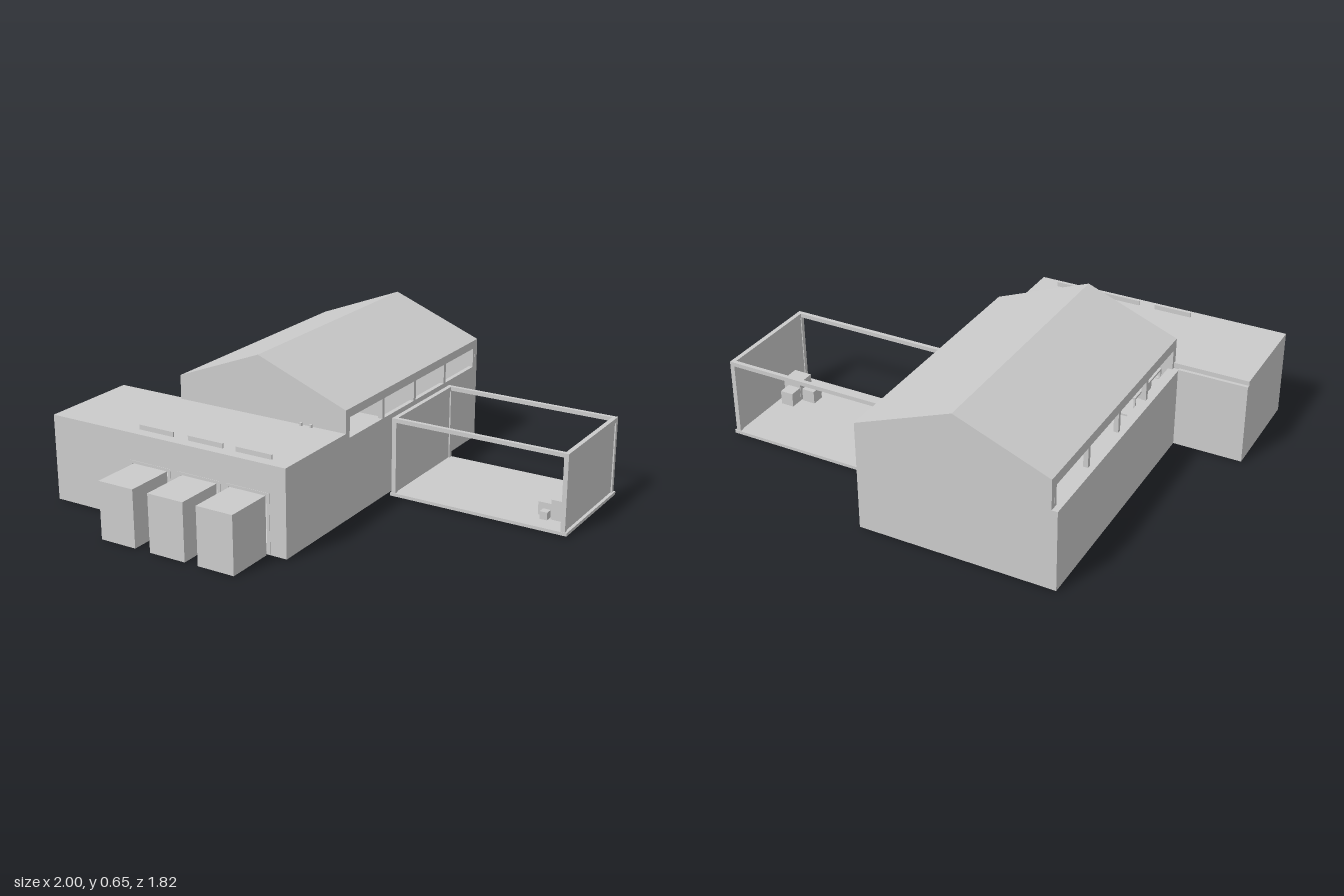
import * as THREE from 'three';

const grey = new THREE.MeshStandardMaterial({ color: 0xcccccc, flatShading: true });

// Box given by its extents on each axis
function block(parent, name, x0, x1, y0, y1, z0, z1) {
  const mesh = new THREE.Mesh(new THREE.BoxGeometry(x1 - x0, y1 - y0, z1 - z0), grey);
  mesh.position.set((x0 + x1) / 2, (y0 + y1) / 2, (z0 + z1) / 2);
  mesh.name = name;
  parent.add(mesh);
  return mesh;
}

// Flat outline extruded along z
function prism(parent, name, points, z0, z1, holes = []) {
  const shape = new THREE.Shape(points.map(([x, y]) => new THREE.Vector2(x, y)));
  for (const [x0, x1, y0, y1] of holes) {
    shape.holes.push(new THREE.Path([[x0, y0], [x0, y1], [x1, y1], [x1, y0]].map(([x, y]) => new THREE.Vector2(x, y))));
  }
  const mesh = new THREE.Mesh(new THREE.ExtrudeGeometry(shape, { depth: z1 - z0, bevelEnabled: false }), grey);
  mesh.position.z = z0;
  mesh.name = name;
  parent.add(mesh);
}

function group(parent, name) {
  const g = new THREE.Group();
  g.name = name;
  parent.add(g);
  return g;
}

const docks = [-0.497, -0.253, -0.02];

// Long hall with clerestory windows and a gabled roof
function buildHall(root) {
  const hall = group(root, 'hall');
  block(hall, 'hallFloor', -0.695, 0.16, 0.005, 0.015, -0.91, 0.235);
  block(hall, 'hallLeftWall', 0.14, 0.16, 0.015, 0.36, -0.89, 0.235);
  block(hall, 'hallRightWall', -0.695, -0.65, 0.015, 0.36, -0.89, 0.235);
  block(hall, 'hallBackWall', -0.695, 0.16, 0.015, 0.36, -0.91, -0.89);
  block(hall, 'backGable', -0.67, 0.16, 0.36, 0.455, -0.91, -0.89);
  block(hall, 'frontGable', -0.67, 0.16, 0.36, 0.455, 0.235, 0.25);
  prism(hall, 'roof', [[-0.67, 0.455], [0.16, 0.455], [0.16, 0.485], [-0.265, 0.65], [-0.67, 0.492]], -0.91, 0.25);

  // Window posts and thin rails on both long sides
  for (const x of [-0.67, 0.14]) {
    for (const z of [0.23, -0.05, -0.32, -0.595, -0.88]) {
      block(hall, 'windowPost', x, x + 0.02, 0.36, 0.455, z - 0.009, z + 0.009);
    }
    block(hall, 'windowHeadRail', x, x + 0.02, 0.448, 0.456, -0.89, 0.235);
  }

  // Storage rack inside the hall
  const rack = group(hall, 'storageRack');
  for (const y of [0.03, 0.1, 0.18, 0.27, 0.358]) block(rack, 'rackShelf', -0.63, -0.55, y, y + 0.008, -0.07, 0.2);
  for (const x of [-0.63, -0.558]) {
    for (const z of [-0.07, 0.06, 0.192]) block(rack, 'rackPost', x, x + 0.008, 0.015, 0.366, z, z + 0.008);
  }
  block(rack, 'rackBox', -0.62, -0.56, 0.278, 0.372, 0.07, 0.12);
}

// Front wing with three loading docks
function buildWing(root) {
  const wing = group(root, 'loadingWing');
  block(wing, 'wingFloor', -1, 0.16, 0.005, 0.015, 0.22, 0.67);
  block(wing, 'wingRoof', -1, 0.16, 0.365, 0.385, 0.235, 0.69);
  block(wing, 'wingBackWall', -1, -0.695, 0.015, 0.365, 0.22, 0.235);
  block(wing, 'wingRightWall', -1, -0.98, 0.015, 0.365, 0.235, 0.67);
  block(wing, 'wingLeftWall', 0.14, 0.16, 0.015, 0.365, 0.235, 0.67);
  prism(wing, 'wingFrontWall', [[-1, 0.005], [0.16, 0.005], [0.16, 0.365], [-1, 0.365]], 0.67, 0.69,
    docks.map((x) => [x - 0.1, x + 0.1, 0.02, 0.262]));

  for (const x of docks) {
    // Frame around the dock opening
    for (const s of [-1, 1]) block(wing, 'dockJamb', x + s * 0.097 - 0.007, x + s * 0.097 + 0.007, 0.008, 0.266, 0.665, 0.692);
    block(wing, 'dockLintel', x - 0.09, x + 0.09, 0.254, 0.266, 0.665, 0.692);
    // Parked trailer and the panel above it
    block(wing, 'trailer', x - 0.085, x + 0.085, 0, 0.253, 0.69, 0.91);
    block(wing, 'roofPanel', x - 0.085, x + 0.085, 0.385, 0.406, 0.636, 0.642);
  }

  // Two small vents beside the gable
  for (const x of [-0.048, 0]) {
    const vent = new THREE.Mesh(new THREE.CylinderGeometry(0.006, 0.006, 0.014, 12), grey);
    vent.name = 'roofVent';
    vent.position.set(x, 0.392, 0.262);
    wing.add(vent);
  }
}

// Side annex: framed bay, solid at both ends, open front, back and top
function buildAnnex(root) {
  const annex = group(root, 'annex');
  block(annex, 'annexFloor', 0.185, 1, 0.008, 0.022, -0.585, -0.07);
  for (const x of [0.19, 0.972]) {
    block(annex, 'annexEndWall', x + 0.004, x + 0.014, 0.022, 0.342, -0.565, -0.09);
    block(annex, 'annexEndBeam', x, x + 0.02, 0.34, 0.36, -0.582, -0.072);
    for (const z of [-0.582, -0.09]) block(annex, 'annexPost', x, x + 0.02, 0.022, 0.342, z, z + 0.018);
  }
  for (const z of [-0.582, -0.09]) block(annex, 'annexLongBeam', 0.2, 0.982, 0.342, 0.36, z, z + 0.018);

  // Stored crates: x0, x1, top, z0, z1
  for (const [x0, x1, top, z0, z1] of [
    [0.888, 0.972, 0.11, -0.25, -0.165],
    [0.888, 0.948, 0.085, -0.312, -0.252],
    [0.82, 0.88, 0.08, -0.247, -0.188],
    [0.845, 0.879, 0.056, -0.182, -0.148],
  ]) block(annex, 'crate', x0, x1, 0.022, top, z0, z1);
}

export function createModel() {
  const root = new THREE.Group();
  root.name = 'warehouse';
  buildHall(root);
  buildWing(root);
  buildAnnex(root);
  return root;
}
